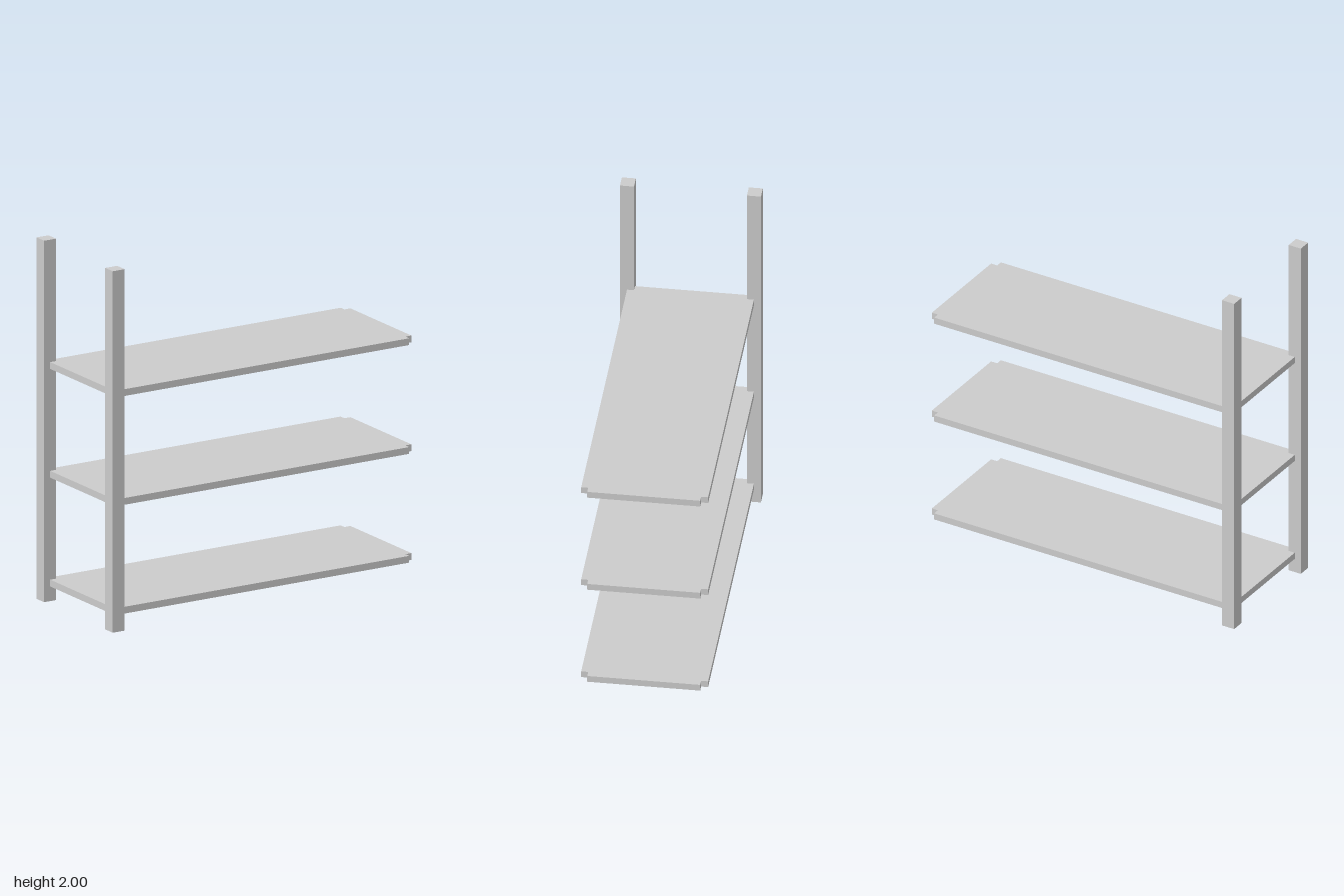
import * as THREE from 'three';

export function createModel() {
  const model = new THREE.Group();
  const material = new THREE.MeshStandardMaterial({ color: 0xcccccc, flatShading: true });

  const post = 0.075;        // square post width
  const notch = post / 2;    // corner cut-out that receives a post
  const thickness = 0.0375;
  const left = -0.925, right = 0.9625, depth = 0.34;

  // Two upright posts at one end
  for (const [name, side] of [['frontPost', 1], ['backPost', -1]]) {
    const mesh = new THREE.Mesh(new THREE.BoxGeometry(post, 2, post), material);
    mesh.name = name;
    mesh.position.set(left, 1, side * depth);
    model.add(mesh);
  }

  // Shelf outline: a rectangle with all four corners notched
  const inL = left + notch, inR = right - notch, inD = depth - notch;
  const outline = new THREE.Shape([
    [inL, -depth], [inR, -depth], [inR, -inD], [right, -inD],
    [right, inD], [inR, inD], [inR, depth], [inL, depth],
    [inL, inD], [left, inD], [left, -inD], [inL, -inD],
  ].map(([x, y]) => new THREE.Vector2(x, y)));
  const shelfGeometry = new THREE.ExtrudeGeometry(outline, { depth: thickness, bevelEnabled: false });
  shelfGeometry.rotateX(-Math.PI / 2).translate(0, -thickness / 2, 0);

  // Three evenly spaced shelves
  ['lowerShelf', 'middleShelf', 'upperShelf'].forEach((name, i) => {
    const shelf = new THREE.Mesh(shelfGeometry, material);
    shelf.name = name;
    shelf.position.y = 0.1 + i * 0.602;
    model.add(shelf);
  });

  return model;
}
